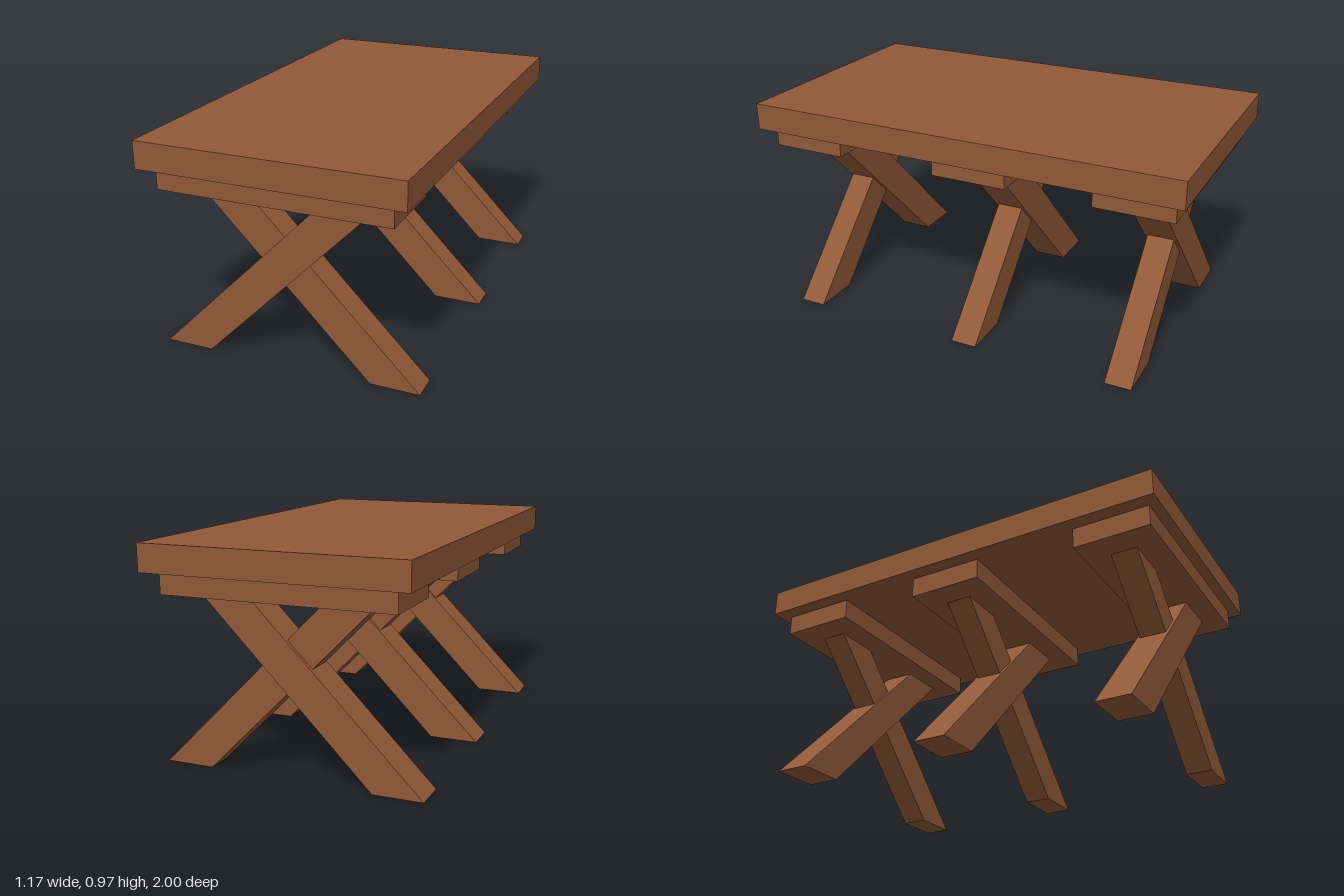
import * as THREE from 'three';

const wood = new THREE.MeshStandardMaterial({ color: 0x915938 });
wood.name = 'brown wood';

function board(name, width, y0, y1, z0, z1) {
  const mesh = new THREE.Mesh(new THREE.BoxGeometry(width, y1 - y0, z1 - z0), wood);
  mesh.name = name;
  mesh.position.set(0, (y0 + y1) / 2, (z0 + z1) / 2);
  return mesh;
}

// Slanted leg with level ends; side is the sign of x at its foot
function leg(name, side, thickness, z) {
  const points = [[0.585, 0], [0.368, 0], [-0.382, 0.757], [-0.165, 0.757]];
  const shape = new THREE.Shape(points.map(([x, y]) => new THREE.Vector2(x * side, y)));
  const geometry = new THREE.ExtrudeGeometry(shape, { depth: thickness, bevelEnabled: false });
  geometry.translate(0, 0, z - thickness / 2);
  const mesh = new THREE.Mesh(geometry, wood);
  mesh.name = name;
  return mesh;
}

export function createModel() {
  const table = new THREE.Group();
  table.name = 'table';
  table.add(board('tabletop', 1.154, 0.85, 0.97, -1, 1));

  // Three trestles: a cleat over a thick and a thin crossed leg
  const trestles = [['front', 0.78, 0.782], ['middle', -0.041, -0.044], ['back', -0.777, -0.777]];
  for (const [place, cleatZ, legZ] of trestles) {
    const trestle = new THREE.Group();
    trestle.name = `${place}Trestle`;
    trestle.add(
      board('cleat', 1.02, 0.757, 0.85, cleatZ - 0.174, cleatZ + 0.174),
      leg('thickLeg', -1, 0.152, legZ),
      leg('thinLeg', 1, 0.12, legZ)
    );
    table.add(trestle);
  }
  return table;
}
